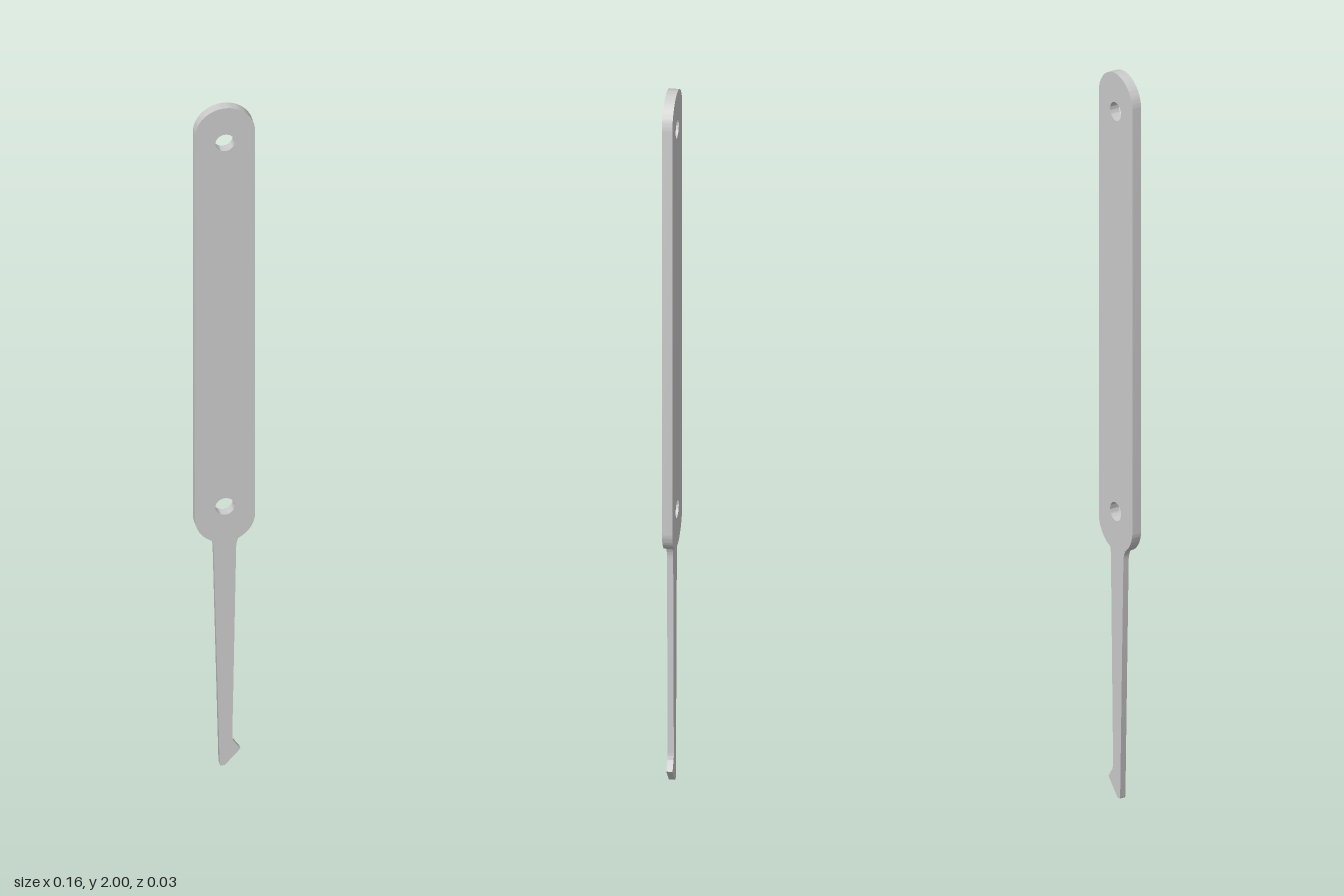
import * as THREE from 'three';
import { toCreasedNormals } from 'three/addons/utils/BufferGeometryUtils.js';

const material = new THREE.MeshStandardMaterial({ color: 0xcccccc });

// Flat plate of the given thickness, centred on z = 0
function plate(name, shape, thickness) {
  const geometry = new THREE.ExtrudeGeometry(shape, { depth: thickness, bevelEnabled: false, curveSegments: 24 });
  geometry.translate(0, 0, -thickness / 2);
  const mesh = new THREE.Mesh(toCreasedNormals(geometry, 0.6), material);
  mesh.name = name;
  return mesh;
}

export function createModel() {
  const group = new THREE.Group();
  group.name = 'handTool';

  // Handle: long slot shape with a rivet hole near each end
  const r = 0.078, low = 0.76, high = 2 - r;
  const handle = new THREE.Shape();
  handle.moveTo(r, low);
  handle.lineTo(r, high);
  handle.absarc(0, high, r, 0, Math.PI, false);
  handle.lineTo(-r, low);
  handle.absarc(0, low, r, Math.PI, Math.PI * 2, false);
  for (const y of [0.79, 1.895]) {
    handle.holes.push(new THREE.Path().absarc(0, y, 0.025, 0, Math.PI * 2, true));
  }
  group.add(plate('handle', handle, 0.027));

  // Shaft: tapered blade, flared at the shoulder, with a hooked tip
  const shaft = new THREE.Shape();
  shaft.moveTo(-0.01, 0);
  shaft.lineTo(0, 0);
  shaft.lineTo(0.041, 0.045);
  shaft.lineTo(0.025, 0.068);
  shaft.quadraticCurveTo(0.02, 0.075, 0.02, 0.09);
  shaft.lineTo(0.03, 0.66);
  shaft.quadraticCurveTo(0.031, 0.683, 0.042, 0.697);
  shaft.lineTo(0.042, 0.72);
  shaft.lineTo(-0.04, 0.72);
  shaft.lineTo(-0.04, 0.695);
  shaft.quadraticCurveTo(-0.029, 0.683, -0.028, 0.66);
  shaft.lineTo(-0.013, 0.01);
  shaft.quadraticCurveTo(-0.013, 0, -0.01, 0);
  group.add(plate('hookedShaft', shaft, 0.016));

  return group;
}
